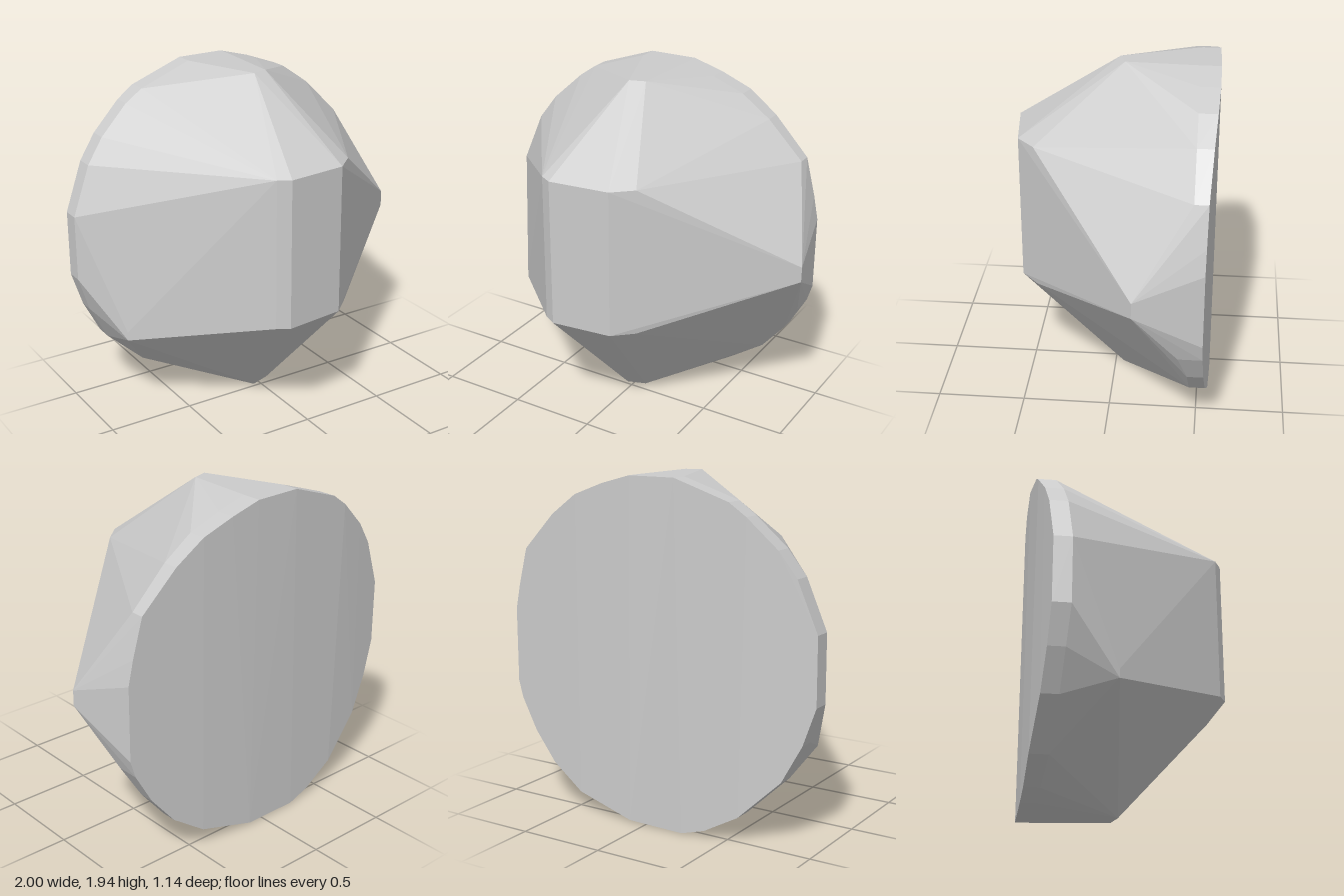
import * as THREE from 'three';
import { ConvexGeometry } from 'three/addons/geometries/ConvexGeometry.js';

// Depth of the gently bowed back at a given x
const backProfile = [[-1, -0.46], [-0.65, -0.53], [-0.1, -0.57], [0.34, -0.57], [0.92, -0.53]];
function backZ(x) {
  for (let i = 1; i < backProfile.length; i++) {
    const [x0, z0] = backProfile[i - 1], [x1, z1] = backProfile[i];
    if (x <= x1) return THREE.MathUtils.mapLinear(x, x0, x1, z0, z1);
  }
  return -0.53;
}

export function createModel() {
  const group = new THREE.Group();
  group.name = 'facetedStone';
  const points = [];
  const add = (x, y, z) => points.push(new THREE.Vector3(x, y, z));

  // Front table: four columns joined top and bottom
  for (const [x, z] of [[-0.24, 0.53], [-0.17, 0.57], [0.18, 0.53], [0.29, 0.43]]) {
    add(x, 0.66, z);
    add(x, 1.52, z);
  }

  // Crown corners: top, bottom, left side and right side
  add(-0.03, 1.94, -0.02); add(0.06, 1.94, -0.05);
  add(-0.04, 0, -0.02); add(0.07, 0.005, -0.05);
  add(-0.83, 0.48, -0.1); add(-0.83, 0.53, -0.1);
  add(1, 1, -0.16); add(1, 0.91, -0.16);

  // Girdle: x, y and depth of its front edge
  const girdle = [
    [-1, 1.18, -0.36], [-0.89, 1.46, -0.38], [-0.79, 1.6, -0.4], [-0.62, 1.76, -0.43],
    [-0.52, 1.83, -0.43], [-0.2, 1.94, -0.46], [0.08, 1.94, -0.46], [0.26, 1.89, -0.46],
    [0.45, 1.82, -0.46], [0.62, 1.7, -0.46], [0.83, 1.49, -0.46], [0.89, 1.27, -0.4],
    [0.89, 0.6, -0.4], [0.79, 0.42, -0.45], [0.65, 0.25, -0.46], [0.45, 0.11, -0.46],
    [0.1, 0.01, -0.46], [-0.24, 0, -0.46], [-0.38, 0.04, -0.46], [-0.58, 0.15, -0.43],
    [-0.82, 0.38, -0.4], [-0.93, 0.59, -0.38], [-1, 0.8, -0.36],
  ];
  for (const [x, y, z] of girdle) {
    add(x, y, z);
    add(x, y, backZ(x));
  }
  // Right end of the back, set in behind the side corner
  add(0.92, 1.13, -0.53);
  add(0.92, 0.7, -0.53);

  const stone = new THREE.Mesh(
    new ConvexGeometry(points),
    new THREE.MeshStandardMaterial({ color: 0xcccccc, flatShading: true })
  );
  stone.name = 'cutStone';
  group.add(stone);
  return group;
}
